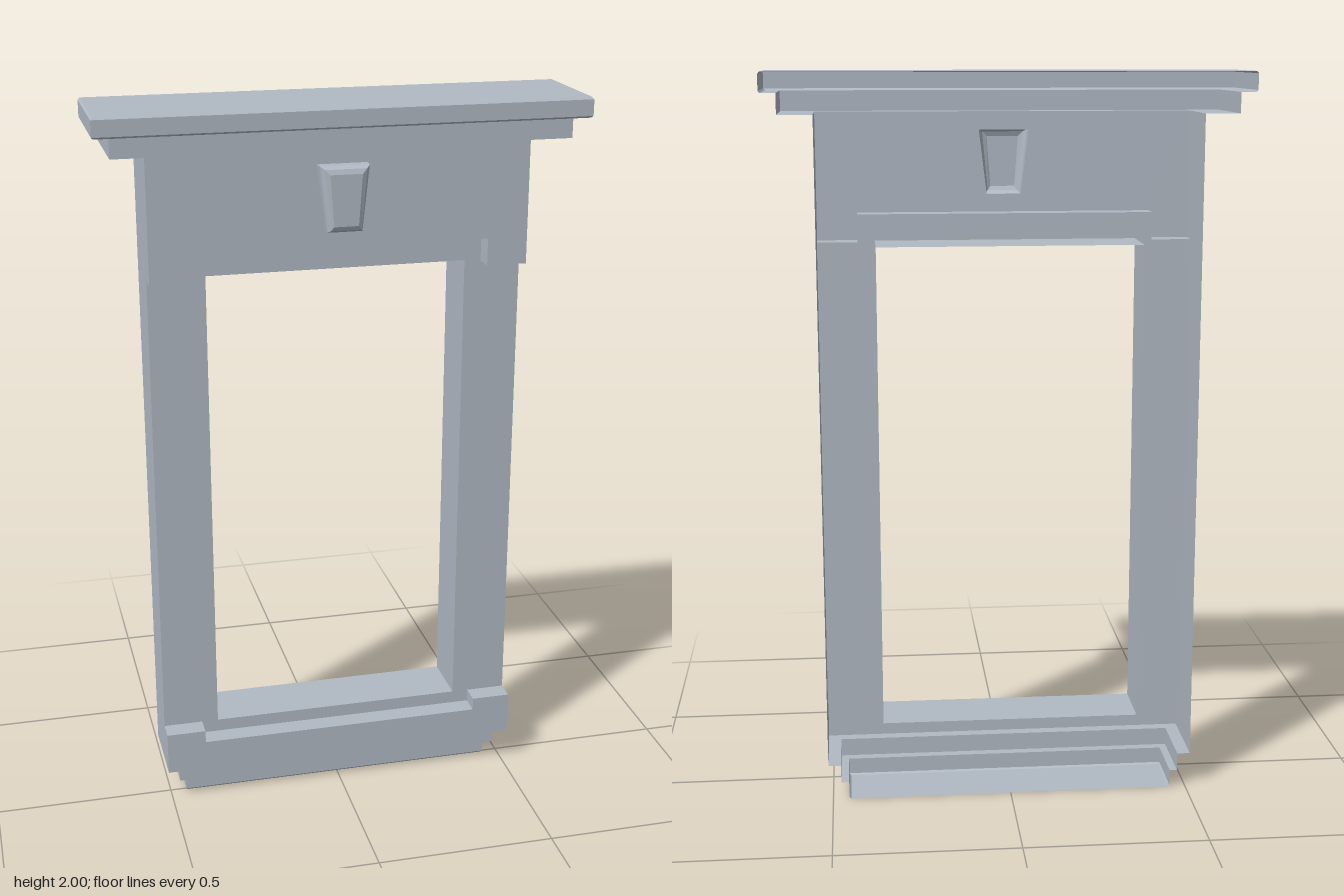
import * as THREE from 'three';

const BACK = -0.153, FRAME_Z = 0.01, PANEL_Z = 0.067;
const W = 0.512, EAR = 0.402, BASE_TOP = 0.1, CORNICE_BOTTOM = 1.891;

const stone = new THREE.MeshStandardMaterial({ color: 0xb0b9c4, side: THREE.DoubleSide, flatShading: true });
stone.name = 'blueGreyStone';

const v2 = (pts) => pts.map(([x, y]) => new THREE.Vector2(x, y));

function add(parent, name, geometry) {
  const mesh = new THREE.Mesh(geometry, stone);
  mesh.name = name;
  parent.add(mesh);
  return mesh;
}

// Skin between successive rings of [x, y, z] points
function loft(rings, closed = false) {
  const pos = [];
  for (let k = 0; k + 1 < rings.length; k++) {
    const r = rings[k], s = rings[k + 1], n = r.length;
    for (let i = 0; i < (closed ? n : n - 1); i++) {
      const j = (i + 1) % n;
      pos.push(...r[i], ...r[j], ...s[j], ...r[i], ...s[j], ...s[i]);
    }
  }
  const g = new THREE.BufferGeometry();
  g.setAttribute('position', new THREE.Float32BufferAttribute(pos, 3));
  g.computeVertexNormals();
  return g;
}

// Wall running from z0 to z1 along a path in the front plane
const wall = (path, z0, z1, closed = false) =>
  loft([z0, z1].map((z) => path.map(([x, y]) => [x, y, z])), closed);

// Flat front-facing plate outline with optional opening
function face(outline, z, hole) {
  const shape = new THREE.Shape(v2(outline));
  if (hole) shape.holes.push(new THREE.Path(v2(hole)));
  return new THREE.ShapeGeometry(shape).translate(0, 0, z);
}

// Moulding open at the back: each level is [half width, front z, y]
const moulding = (levels) =>
  loft(levels.map(([w, f, y]) => [[-w, y, BACK], [-w, y, f], [w, y, f], [w, y, BACK]]));

// Horizontal cover plate; up = 1 faces upward, -1 downward
const cover = (w, front, y, up) =>
  new THREE.PlaneGeometry(2 * w, front - BACK).rotateX(-up * Math.PI / 2)
    .translate(0, y, (front + BACK) / 2);

export function createModel() {
  const model = new THREE.Group();
  model.name = 'windowSurround';

  // Opening and the eared outlines of the raised panels
  const opening = [[-0.356, 0.222], [-0.356, 1.549], [0.356, 1.549], [0.356, 0.222]];
  const header = [[-W, CORNICE_BOTTOM], [-W, 1.545], [-EAR, 1.545], [-EAR, 1.62],
    [EAR, 1.62], [EAR, 1.545], [W, 1.545], [W, CORNICE_BOTTOM]];
  const sill = [[W, BASE_TOP], [W, 0.222], [EAR, 0.222], [EAR, 0.186],
    [-EAR, 0.186], [-EAR, 0.222], [-W, 0.222], [-W, BASE_TOP]];

  // Frame: front, reveal and outer sides
  const outline = [...sill.slice(1, 7).reverse(), ...header.slice(1, 7).reverse()];
  add(model, 'frameFront', face(outline, FRAME_Z, opening));
  add(model, 'openingReveal', wall(opening, BACK, FRAME_Z, true));
  add(model, 'leftSide', wall([[W, BASE_TOP], [W, CORNICE_BOTTOM]], BACK, FRAME_Z));
  add(model, 'rightSide', wall([[-W, CORNICE_BOTTOM], [-W, BASE_TOP]], BACK, FRAME_Z));

  // Keystone: tapering block with bevelled edges, hollow behind
  const trapezoid = (top, bottom, y1, y0) => [[-bottom, y0], [bottom, y0], [top, y1], [-top, y1]];
  const keyLevels = [
    [trapezoid(0.068, 0.047, 1.842, 1.668), PANEL_Z],
    [trapezoid(0.066, 0.047, 1.842, 1.668), 0.096],
    [trapezoid(0.056, 0.041, 1.835, 1.675), 0.11],
    [trapezoid(0.043, 0.033, 1.822, 1.686), 0.115],
  ];
  const keystone = new THREE.Group();
  keystone.name = 'keystone';
  model.add(keystone);
  add(keystone, 'keystoneSides', loft(keyLevels.map(([p, z]) => p.map(([x, y]) => [x, y, z])), true));
  add(keystone, 'keystoneFront', face(keyLevels[3][0], 0.115));

  // Raised header and sill panels
  add(model, 'headerFront', face(header, PANEL_Z, keyLevels[0][0]));
  add(model, 'headerEdge', wall(header, FRAME_Z, PANEL_Z));
  add(model, 'sillFront', face(sill, PANEL_Z));
  add(model, 'sillEdge', wall(sill, FRAME_Z, PANEL_Z));

  // Stepped base
  add(model, 'baseSteps', moulding([
    [0.45, 0.006, 0], [0.455, 0.01, 0.005], [0.455, 0.01, 0.05],
    [0.476, 0.036, 0.05], [0.476, 0.036, 0.1], [W, PANEL_Z, BASE_TOP],
  ]));
  add(model, 'baseUnderside', cover(0.45, 0.006, 0, -1));

  // Stepped cornice with softened edges
  add(model, 'corniceSteps', moulding([
    [W, PANEL_Z, CORNICE_BOTTOM], [0.605, 0.126, CORNICE_BOTTOM], [0.605, 0.126, 1.946],
    [0.645, 0.148, 1.946], [0.65, 0.153, 1.951], [0.65, 0.153, 1.994], [0.645, 0.148, 2],
  ]));
  add(model, 'corniceTop', cover(0.645, 0.148, 2, 1));

  return model;
}
